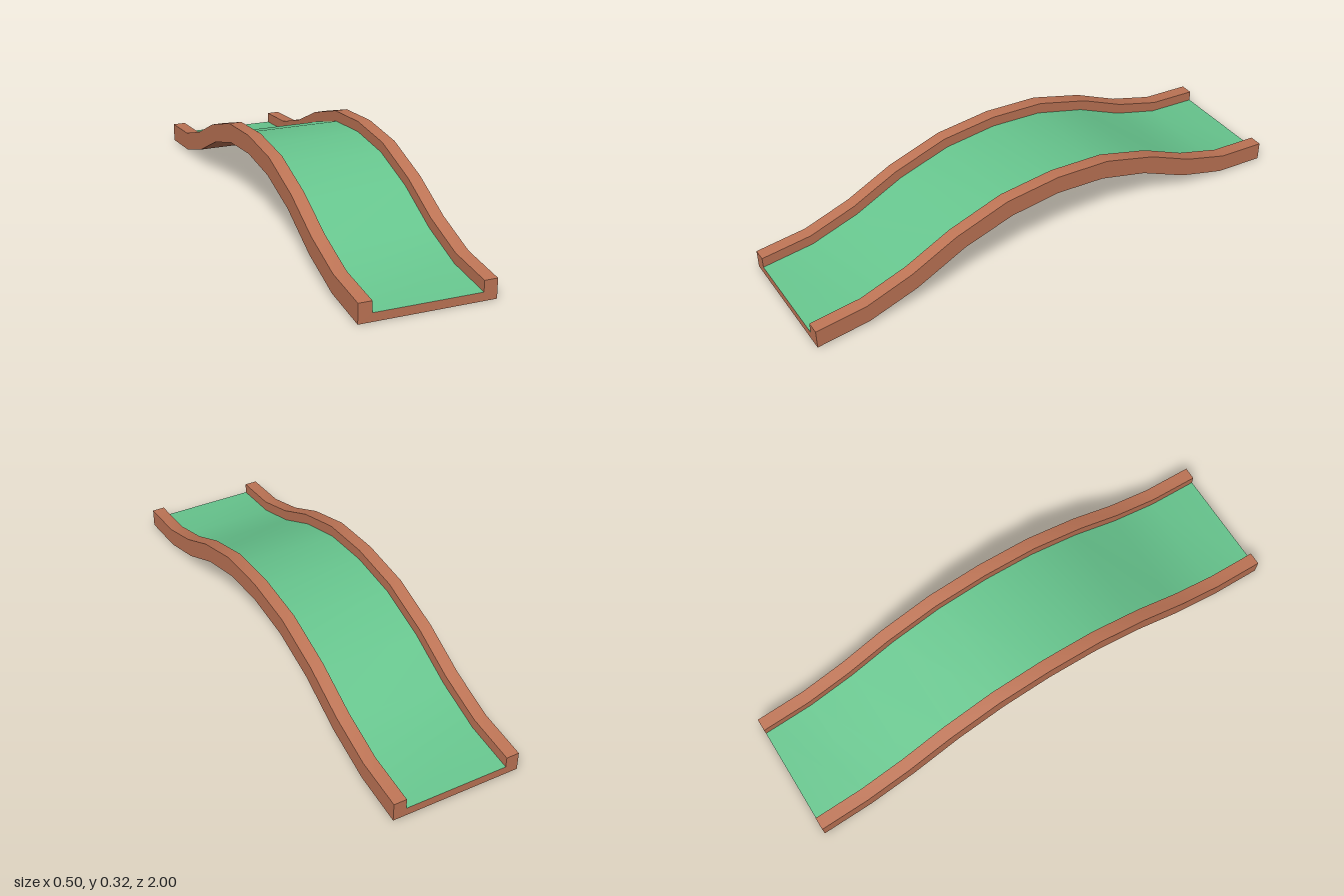
import * as THREE from 'three';
import { mergeGeometries } from 'three/addons/utils/BufferGeometryUtils.js';

// Half of the hump's side profile, front end to crest: [bottom z, bottom y, top z, top y]
const HALF = [
  [1, 0, 1, 0.074],
  [0.795, 0.019, 0.802, 0.092],
  [0.6, 0.079, 0.618, 0.151],
  [0.4, 0.174, 0.435, 0.238],
  [0.2, 0.232, 0.22, 0.305],
  [0, 0.25, 0, 0.323],
];
const STATIONS = [
  ...HALF,
  ...HALF.slice(0, -1).reverse().map(([bz, by, tz, ty]) => [-bz, by, -tz, ty]),
];

// U-shaped cross-section, counterclockwise from the front: [x, height from bottom 0 to rail top 1]
const FLOOR = 0.435;
const SECTION = [
  [-0.25, 0], [0.25, 0], [0.25, 1], [0.2, 1],
  [0.2, FLOOR], [-0.2, FLOOR], [-0.2, 1], [-0.25, 1],
];
const FLOOR_EDGE = 4;

// One face strip along the track, smooth lengthwise and sharp at its long edges
function strip(a, b) {
  const positions = [];
  const index = [];
  STATIONS.forEach(([bz, by, tz, ty], i) => {
    for (const [x, h] of [a, b]) {
      positions.push(x, by + (ty - by) * h, bz + (tz - bz) * h);
    }
    if (i > 0) {
      const k = 2 * (i - 1);
      index.push(k, k + 2, k + 1, k + 1, k + 2, k + 3);
    }
  });
  const geometry = new THREE.BufferGeometry();
  geometry.setAttribute('position', new THREE.Float32BufferAttribute(positions, 3));
  geometry.setIndex(index);
  geometry.computeVertexNormals();
  return geometry;
}

// Flat U-shaped end face
function endCap(back) {
  const height = HALF[0][3];
  const shape = new THREE.Shape(SECTION.map(([x, h]) => new THREE.Vector2(x, h * height)));
  const geometry = new THREE.ShapeGeometry(shape);
  geometry.deleteAttribute('uv');
  geometry.translate(0, 0, 1);
  if (back) geometry.rotateY(Math.PI);
  return geometry;
}

export function createModel() {
  const wood = new THREE.MeshStandardMaterial({ color: 0xbf7556 });
  wood.name = 'wood brown';
  const turf = new THREE.MeshStandardMaterial({ color: 0x68c78f });
  turf.name = 'turf green';

  const group = new THREE.Group();
  group.name = 'humpTrack';

  // Wooden base and side rails
  const frameParts = [endCap(false), endCap(true)];
  SECTION.forEach((point, i) => {
    if (i !== FLOOR_EDGE) frameParts.push(strip(point, SECTION[(i + 1) % SECTION.length]));
  });
  const frame = new THREE.Mesh(mergeGeometries(frameParts), wood);
  frame.name = 'woodenFrame';

  // Green running surface between the rails
  const surface = new THREE.Mesh(strip(SECTION[FLOOR_EDGE], SECTION[FLOOR_EDGE + 1]), turf);
  surface.name = 'turfSurface';

  group.add(frame, surface);
  return group;
}
